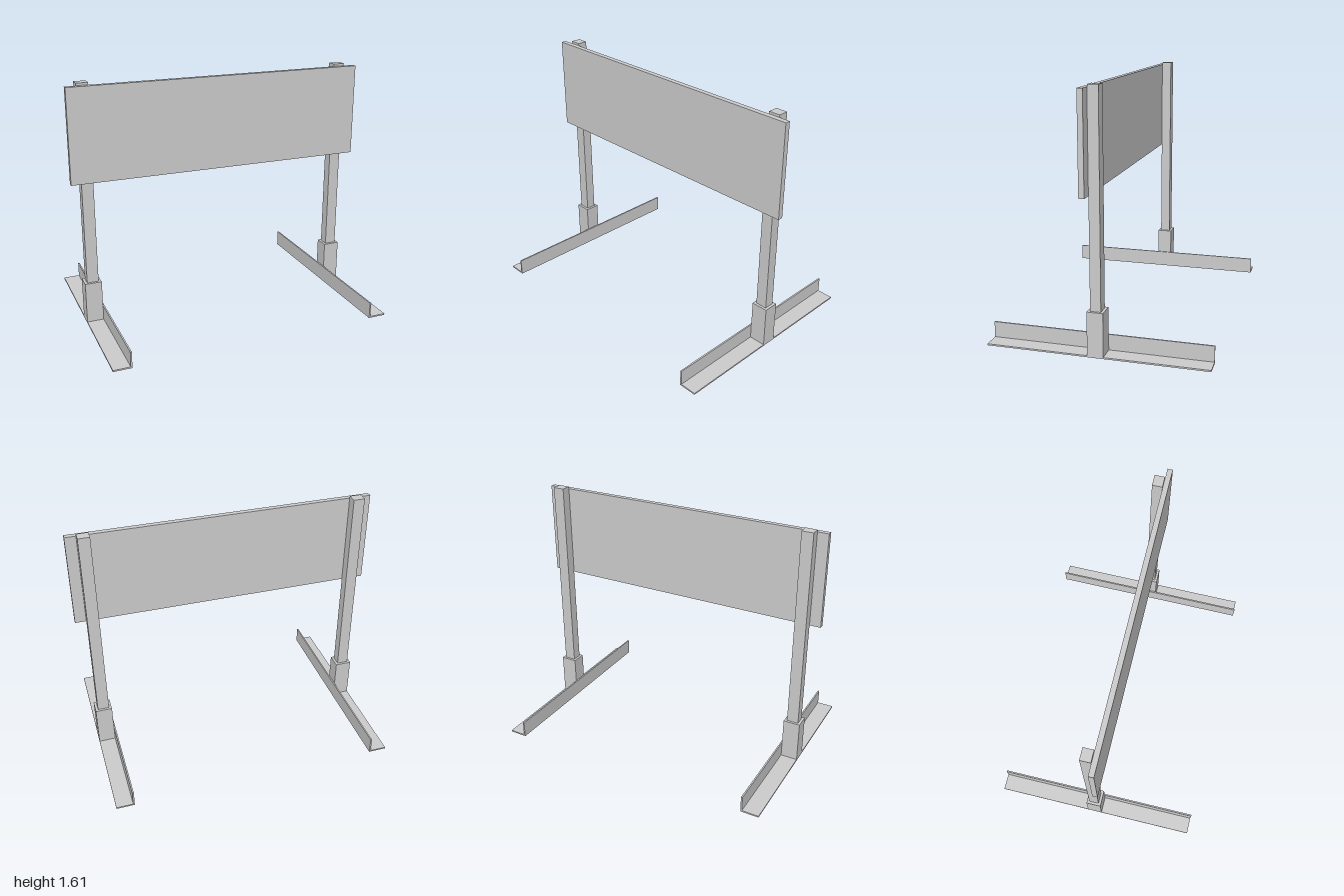
import * as THREE from 'three';

const material = new THREE.MeshStandardMaterial({ color: 0xcccccc, flatShading: true });

// Box given by its [min, max] extents on each axis
function box(name, [x0, x1], [y0, y1], [z0, z1]) {
  const mesh = new THREE.Mesh(new THREE.BoxGeometry(x1 - x0, y1 - y0, z1 - z0), material);
  mesh.name = name;
  mesh.position.set((x0 + x1) / 2, (y0 + y1) / 2, (z0 + z1) / 2);
  return mesh;
}

// L-section foot: flat flange outward, upright flange on the inner edge
function angleFoot(side) {
  const inner = 0.825, outer = 0.945, t = 0.01, height = 0.11, length = 1.384;
  const shape = new THREE.Shape([
    [inner, 0], [outer, 0], [outer, t], [inner + t, t], [inner + t, height], [inner, height],
  ].map(([x, y]) => new THREE.Vector2(side * x, y)));
  const geometry = new THREE.ExtrudeGeometry(shape, { depth: length, bevelEnabled: false });
  geometry.translate(0, 0, -length / 2);
  const mesh = new THREE.Mesh(geometry, material);
  mesh.name = 'foot';
  return mesh;
}

export function createModel() {
  const model = new THREE.Group();
  model.name = 'barrier';

  // Sign board on the front of the posts
  model.add(box('board', [-1, 1], [0.975, 1.59], [0.034, 0.068]));

  // Two mirrored stands: foot, socket and post
  for (const side of [1, -1]) {
    const stand = new THREE.Group();
    stand.name = side > 0 ? 'leftStand' : 'rightStand';
    const span = (a, b) => (side > 0 ? [a, b] : [-b, -a]);
    stand.add(
      angleFoot(side),
      box('socket', span(0.835, 0.945), [0.01, 0.284], [-0.05, 0.05]),
      box('post', span(0.852, 0.928), [0.284, 1.605], [-0.033, 0.033]),
    );
    model.add(stand);
  }
  return model;
}
